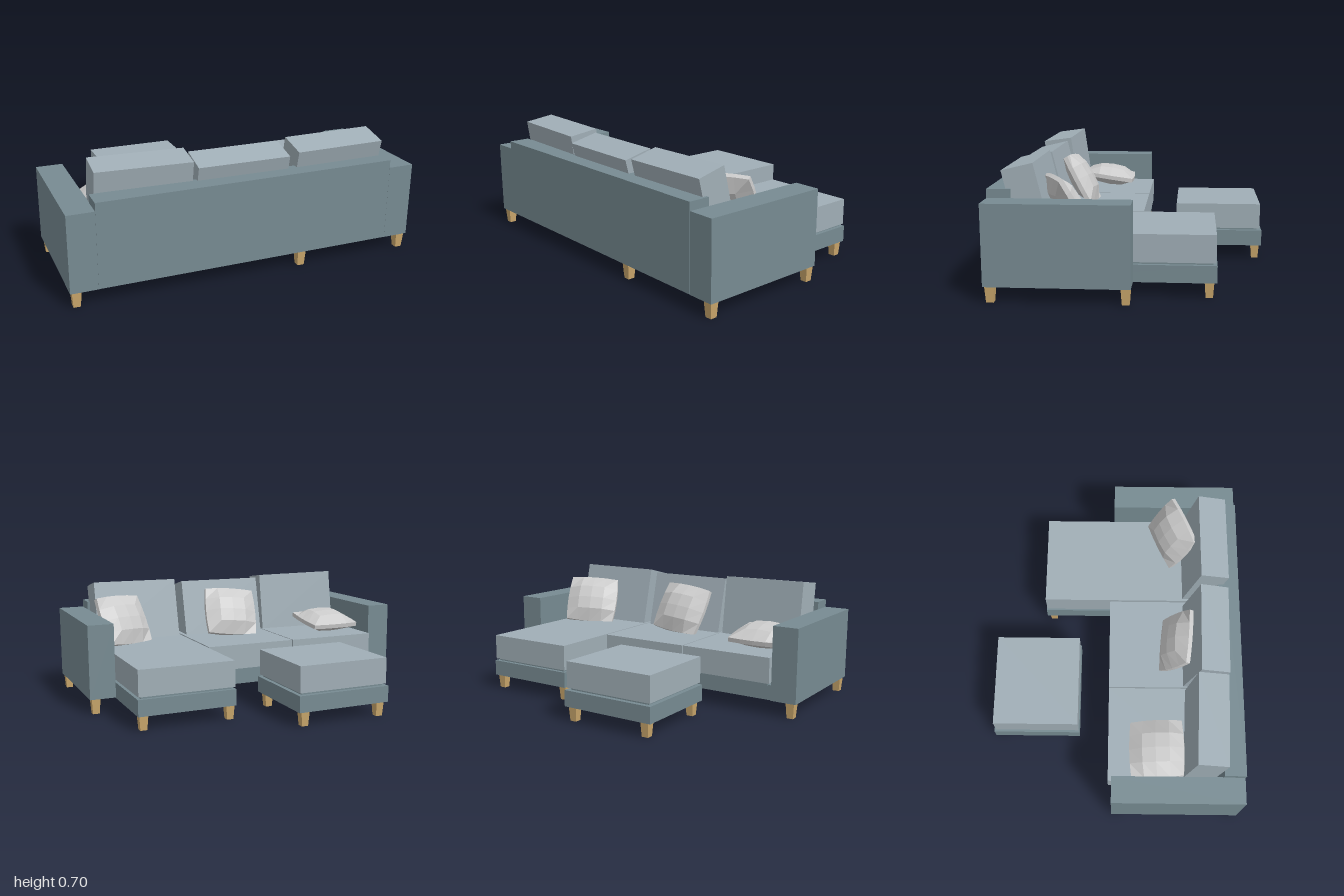
import * as THREE from 'three';

const bodyMat = new THREE.MeshStandardMaterial({ color: 0x778b92 });
const cushionMat = new THREE.MeshStandardMaterial({ color: 0xa0aeb6 });
const woodMat = new THREE.MeshStandardMaterial({ color: 0xcaa76c });
const pillowMat = new THREE.MeshStandardMaterial({ color: 0xcccccc, flatShading: true });

// Box given by its extents on each axis
function block(name, [x0, x1], [y0, y1], [z0, z1], material) {
  const mesh = new THREE.Mesh(new THREE.BoxGeometry(x1 - x0, y1 - y0, z1 - z0), material);
  mesh.position.set((x0 + x1) / 2, (y0 + y1) / 2, (z0 + z1) / 2);
  mesh.name = name;
  return mesh;
}

// Square peg tapering towards the floor
function leg(x, z) {
  const geo = new THREE.CylinderGeometry(0.036, 0.027, 0.09, 4).rotateY(Math.PI / 4).toNonIndexed();
  geo.computeVertexNormals();
  const mesh = new THREE.Mesh(geo, woodMat);
  mesh.position.set(x, 0.045, z);
  mesh.name = 'leg';
  return mesh;
}

// Low-poly pillow: thick middle, thin rim, bulging sides
function pillow(position, rotation) {
  const w = 0.34, h = 0.32, t = 0.13;
  const geo = new THREE.BoxGeometry(w, h, t, 4, 4, 1);
  const p = geo.attributes.position;
  for (let i = 0; i < p.count; i++) {
    const x = p.getX(i), y = p.getY(i);
    const fallX = Math.max(0, 1 - (x / (w / 2)) ** 2);
    const fallY = Math.max(0, 1 - (y / (h / 2)) ** 2);
    const puff = 0.2 + 0.8 * Math.sqrt(fallX * fallY);
    p.setXYZ(i, x * (0.94 + 0.06 * fallY), y * (0.94 + 0.06 * fallX), p.getZ(i) * puff);
  }
  geo.computeVertexNormals();
  const mesh = new THREE.Mesh(geo, pillowMat);
  mesh.position.set(...position);
  mesh.rotation.set(...rotation, 'YXZ');
  mesh.name = 'pillow';
  return mesh;
}

// Back cushion pivoting on its lower front edge, leaning backwards
function backCushion(x, height, depth, lean, yaw, roll) {
  const geo = new THREE.BoxGeometry(0.527, height, depth).translate(0, height / 2, depth / 2);
  const mesh = new THREE.Mesh(geo, cushionMat);
  mesh.position.set(x, 0.33, 0.41);
  mesh.rotation.set(lean, yaw, roll, 'YXZ');
  mesh.name = 'backCushion';
  return mesh;
}

// Seat cushion with a thin inset strip beneath it
function seatCushion(name, [x0, x1], [z0, z1]) {
  const group = new THREE.Group();
  group.name = name;
  group.add(
    block('cushion', [x0, x1], [0.187, 0.336], [z0, z1], cushionMat),
    block('insetStrip', [x0 + 0.015, x1 - 0.015], [0.17, 0.19], [z0 + 0.015, z1 - 0.015], bodyMat));
  return group;
}

export function createModel() {
  const model = new THREE.Group();
  model.name = 'sectionalSofa';

  // Sofa body
  const sofa = new THREE.Group();
  sofa.name = 'sofa';
  sofa.add(
    block('seatBase', [-0.85, 0.85], [0.088, 0.175], [-0.015, 0.62], bodyMat),
    block('backrest', [-0.852, 0.848], [0.088, 0.56], [0.612, 0.735], bodyMat),
    block('chaiseBase', [0.285, 0.85], [0.082, 0.175], [-0.45, 0.617], bodyMat),
    block('rightArm', [-1, -0.85], [0.086, 0.514], [-0.017, 0.733], bodyMat),
    block('leftArm', [0.85, 1], [0.086, 0.514], [-0.017, 0.733], bodyMat));

  // Seat cushions
  sofa.add(
    seatCushion('rightSeatCushion', [-0.845, -0.285], [-0.038, 0.6]),
    seatCushion('middleSeatCushion', [-0.278, 0.28], [-0.038, 0.6]),
    seatCushion('chaiseCushion', [0.29, 0.845], [-0.444, 0.6]));

  // Back cushions
  sofa.add(
    backCushion(-0.558, 0.37, 0.175, 0.14, -0.035, -0.012),
    backCushion(-0.008, 0.355, 0.17, 0.237, -0.015, 0),
    backCushion(0.568, 0.373, 0.17, 0.237, 0.01, 0.006));

  // Loose pillows
  sofa.add(
    pillow([-0.67, 0.4, 0.245], [1.42, 0.02, 0]),
    pillow([-0.03, 0.475, 0.36], [0.5, -0.03, 0.1]),
    pillow([0.69, 0.47, 0.345], [0.5, 0.45, 0.05]));

  // Sofa legs
  for (const [x, z] of [[-0.965, 0.7], [0.965, 0.7], [-0.965, 0.01], [0.965, 0.01],
    [0.315, 0.7], [0.315, 0.045], [0.315, -0.41], [0.815, -0.41]]) sofa.add(leg(x, z));
  model.add(sofa);

  // Ottoman
  const ottoman = new THREE.Group();
  ottoman.name = 'ottoman';
  ottoman.add(
    block('ottomanBase', [-0.522, 0.043], [0.082, 0.175], [-0.737, -0.217], bodyMat),
    seatCushion('ottomanCushion', [-0.512, 0.034], [-0.725, -0.222]));
  for (const x of [-0.477, 0]) for (const z of [-0.7, -0.257]) ottoman.add(leg(x, z));
  model.add(ottoman);

  return model;
}
